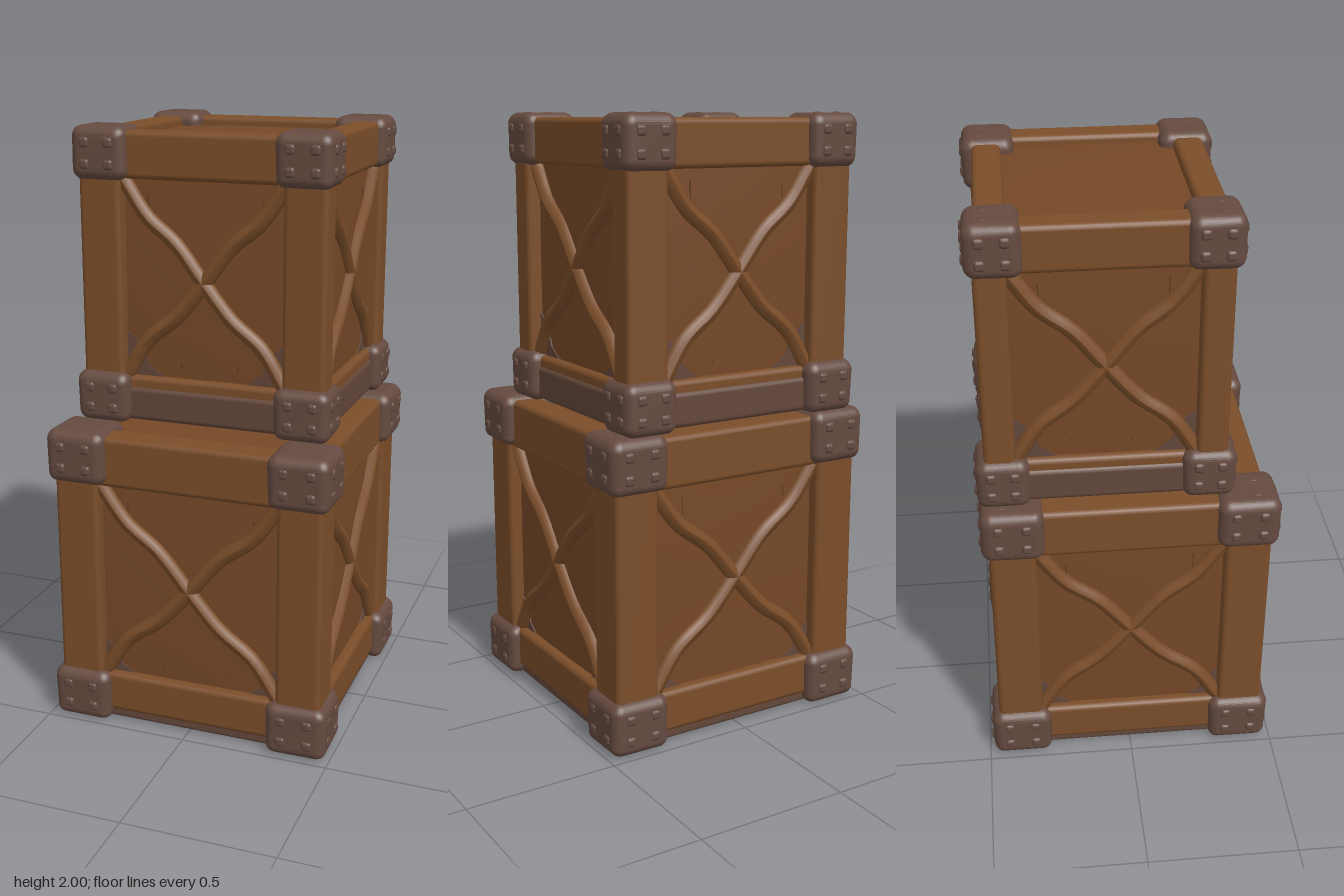
import * as THREE from 'three';
import { RoundedBoxGeometry } from 'three/addons/geometries/RoundedBoxGeometry.js';

const mat = (name, color) => Object.assign(new THREE.MeshStandardMaterial({ color }), { name });

export function createModel() {
  const wood = mat('wood', 0x7a4d29);
  const panelWood = mat('panel wood', 0x754827);
  const iron = mat('worn iron', 0x654a40);
  const grime = mat('grime', 0x63473a);
  const crack = mat('crack', 0x5a3a20);

  const add = (parent, name, geo, material, x = 0, y = 0, z = 0) => {
    const mesh = new THREE.Mesh(geo, material);
    mesh.name = name;
    mesh.position.set(x, y, z);
    parent.add(mesh);
    return mesh;
  };

  // Rounded timber given by its minimum and maximum along each axis
  const timber = (parent, name, x0, x1, y0, y1, z0, z1, material = wood, r = 0.018) =>
    add(parent, name, new RoundedBoxGeometry(x1 - x0, y1 - y0, z1 - z0, 2, r), material,
      (x0 + x1) / 2, (y0 + y1) / 2, (z0 + z1) / 2);

  // Panel block whose six faces swell gently in the middle
  const pillow = (w, h, d, swell) => {
    const g = new THREE.BoxGeometry(w, h, d, 12, 12, 12);
    const p = g.attributes.position, n = g.attributes.normal;
    for (let i = 0; i < p.count; i++) {
      const u = 2 * p.getX(i) / w, v = 2 * p.getY(i) / h, t = 2 * p.getZ(i) / d;
      const nx = n.getX(i), ny = n.getY(i), nz = n.getZ(i);
      const a = nx ? v : u, b = nz ? v : t;
      const k = swell * (1 - a * a) * (1 - b * b);
      p.setXYZ(i, p.getX(i) + nx * k, p.getY(i) + ny * k, p.getZ(i) + nz * k);
    }
    g.computeVertexNormals();
    return g;
  };

  // Hammered iron block with a wavy surface
  const hammered = (w, h, d, seed) => {
    const g = new RoundedBoxGeometry(w, h, d, 5, 0.035);
    const p = g.attributes.position;
    for (let i = 0; i < p.count; i++) {
      const x = p.getX(i), y = p.getY(i), z = p.getZ(i);
      const k = 1 + 0.025 * Math.sin(45 * y + seed) * Math.cos(38 * x - 31 * z + seed);
      p.setXYZ(i, x * k, y, z * k);
    }
    g.computeVertexNormals();
    return g;
  };

  // Corner cap with rivets on its three outer faces
  function cornerCap(parent, sx, sy, sz, x, y, z, size, seed) {
    const cap = new THREE.Group();
    cap.name = 'cornerCap';
    cap.position.set(x, y, z);
    parent.add(cap);
    const [w, h, d] = size;
    add(cap, 'capBlock', hammered(w, h, d, seed), iron);
    const rivet = (px, py, pz) => add(cap, 'rivet', new RoundedBoxGeometry(0.034, 0.034, 0.034, 2, 0.011), iron, px, py, pz);
    for (const a of [-1, 1]) {
      for (const b of [-1, 1]) {
        rivet(a * w * 0.22, b * h * 0.2, sz * (d / 2 - 0.01));
        rivet(sx * (w / 2 - 0.01), b * h * 0.2, a * d * 0.22);
      }
      if (sy > 0) rivet(a * w * 0.2, h / 2 - 0.015, sz * d * 0.14);
    }
  }

  // Curved diagonal brace between opposite panel corners
  function brace(parent, s, w, h, z) {
    const points = [[-1, -1], [-0.72, -0.62], [-0.35, -0.36], [0, 0], [0.35, 0.38], [0.7, 0.63], [1, 1]]
      .map(([u, v]) => new THREE.Vector3(s * u * w, v * h, 0));
    const g = new THREE.TubeGeometry(new THREE.CatmullRomCurve3(points), 28, 0.026, 8);
    g.scale(1, 1, 0.9);
    g.computeVertexNormals();
    add(parent, 'brace', g, wood, 0, 0, z);
  }

  // Ragged triangular stain
  function stain(parent, s, x, y, z, w, h) {
    const shape = new THREE.Shape([[0, 0], [w, 0], [w * 0.6, h * 0.25], [w * 0.4, h * 0.7], [0, h]]
      .map(([a, b]) => new THREE.Vector2(s * a, b)));
    add(parent, 'stain', new THREE.ExtrudeGeometry(shape, { depth: 0.004, bevelEnabled: false }), grime, x, y, z);
  }

  // hx, hz: half sizes over the posts; px, pz: post widths; rail: rail height
  function crate(name, o) {
    const { hx, hz, px, pz, y0, y1, rail, capX, capZ, cap, topX, topZ } = o;
    const g = new THREE.Group();
    g.name = name;
    const mid = (y0 + y1) / 2, inset = 0.05;
    add(g, 'panels', pillow(2 * (hx - inset), y1 - y0 - 0.07, 2 * (hz - inset), 0.014), panelWood, 0, mid, 0);

    for (const sx of [-1, 1]) for (const sz of [-1, 1]) {
      const post = timber(g, 'post', -px / 2, px / 2, y0 + 0.04, y1 - 0.04, -pz / 2, pz / 2);
      post.position.x = sx * (hx - px / 2);
      post.position.z = sz * (hz - pz / 2);
      for (const sy of [-1, 1]) {
        const cx = sy > 0 ? topX : capX, cz = sy > 0 ? topZ : capZ;
        const yc = sy > 0 ? o.capTop - cap[1] / 2 : o.capBottom + cap[1] / 2;
        cornerCap(g, sx, sy, sz, sx * (cx - cap[0] / 2), yc, sz * (cz - cap[2] / 2), cap, sx + 2 * sy + 3 * sz);
      }
    }

    // Rails, braces and wear on each of the four sides
    for (let k = 0; k < 4; k++) {
      const side = new THREE.Group();
      side.name = 'side';
      side.rotation.y = k * Math.PI / 2;
      g.add(side);
      const odd = k % 2 === 1;
      const w = odd ? hz : hx, d = odd ? hx : hz, pw = odd ? pz : px;
      const face = d - inset, inner = w - pw, out = d - 0.01;
      timber(side, 'topRail', -w + 0.05, w - 0.05, y1 - rail, y1, out - o.railDepth, out);
      if (o.dirtyRail) {
        timber(side, 'bottomRail', -w + 0.05, w - 0.05, y0, y0 + rail - 0.035, out - o.railDepth, out, grime);
        timber(side, 'bottomRailEdge', -w + 0.05, w - 0.05, y0 + rail - 0.06, y0 + rail, out - o.railDepth, out - 0.008, wood);
      } else {
        timber(side, 'bottomRail', -w + 0.05, w - 0.05, y0 + 0.03, y0 + rail, out - o.railDepth, out);
        timber(side, 'bottomSkid', -w + 0.05, w - 0.05, y0, y0 + 0.05, out - o.railDepth, out - 0.012, grime, 0.012);
      }
      const center = new THREE.Group();
      center.name = 'braces';
      center.position.y = mid;
      side.add(center);
      const ph = (y1 - y0) / 2 - rail;
      for (const s of [-1, 1]) {
        brace(center, s, inner, ph, face + 0.014);
        stain(center, -s, s * inner, -ph, face + 0.006, o.stain, o.stain * 1.1);
      }
      // Short cracks in the planks
      for (let i = 0; i < 5; i++) {
        const x = inner * (-0.7 + 0.35 * i) + 0.02 * Math.sin(7 * i + k);
        const y = ph * (i % 2 ? -0.75 : 0.72);
        add(center, 'crack', new THREE.BoxGeometry(0.004, 0.08 + 0.03 * Math.sin(i + k), 0.004), crack, x, y, face + 0.006);
      }
    }
    return g;
  }

  const model = new THREE.Group();
  model.name = 'stackedCrates';
  model.add(crate('lowerCrate', {
    hx: 0.462, hz: 0.462, px: 0.152, pz: 0.152, y0: 0.004, y1: 1.02, rail: 0.17, railDepth: 0.11,
    capX: 0.485, capZ: 0.485, topX: 0.485, topZ: 0.485, cap: [0.205, 0.18, 0.205],
    capBottom: 0, capTop: 1.037, stain: 0.1,
  }));
  const upper = crate('upperCrate', {
    hx: 0.415, hz: 0.385, px: 0.143, pz: 0.1, y0: 1.042, y1: 1.985, rail: 0.15, railDepth: 0.095,
    capX: 0.435, capZ: 0.413, topX: 0.432, topZ: 0.408, cap: [0.185, 0.17, 0.17],
    capBottom: 1.035, capTop: 2, stain: 0.13, dirtyRail: true,
  });
  upper.position.z = -0.075;
  model.add(upper);
  return model;
}
